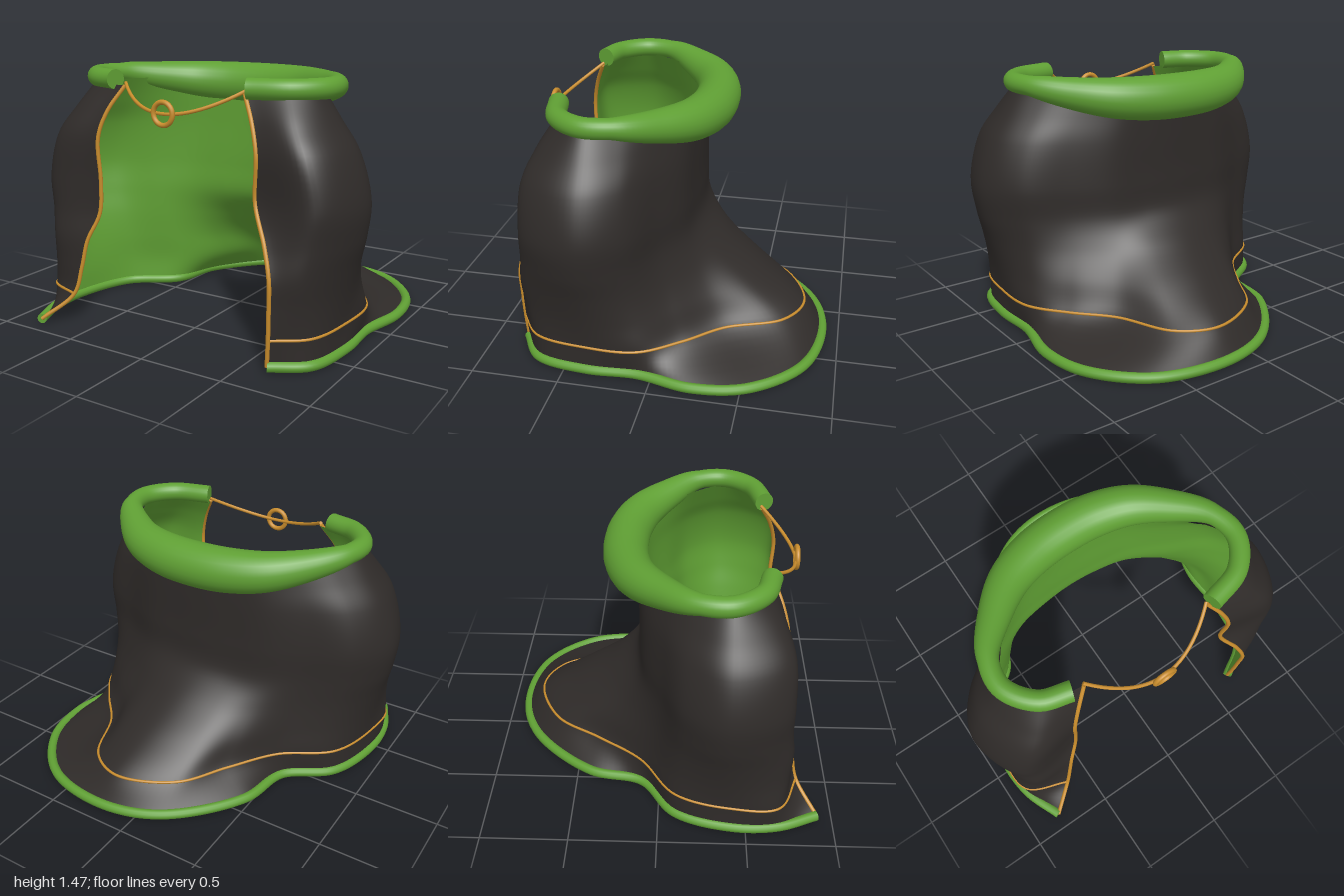
import * as THREE from 'three';

const mat = (color) => new THREE.MeshStandardMaterial({ color, roughness: 0.8 });
const V = (x, y, z) => new THREE.Vector3(x, y, z);
const { lerp } = THREE.MathUtils;
const mirror = (half) => half.map(([x, z]) => [-x, z]).reverse();

// Plan outlines [x, z] from the right front, round the back, to the left front
const rightHalf = [[-0.86, 0.72], [-1, 0.38], [-0.87, 0.14], [-0.62, 0.01], [-0.4, -0.09], [-0.18, -0.125]];
const body = [...rightHalf, [0, -0.135], ...mirror(rightHalf)];
const hem = [[-0.89, 0.68], [-0.9, 0.42], [-0.8, 0.1], [-0.55, -0.1], [-0.47, -0.42], [-0.14, -0.79], [0.2, -0.9],
  [0.62, -0.82], [0.88, -0.54], [0.94, -0.24], [0.88, 0.08], [0.89, 0.37], [0.83, 0.66]];
// The train narrows just above the hem
const train = [[-0.52, -0.11], [-0.33, -0.38], [-0.15, -0.65], [0.18, -0.785], [0.4, -0.68], [0.55, -0.36], [0.73, -0.15]];
const band = [...hem.slice(0, 3), ...train, ...hem.slice(10)];

// Front edges lie on a slanting line in plan
const edgeZ = (x) => 0.58 + 0.79 * (Math.abs(x) - 0.38);

// One level: height, half width, x of both front edges, and how far it flares into the train
function level(y, width, right, left, flare, foot = band) {
  const frontZ = Math.min(0.74, edgeZ(right) + 0.25 * (width - 0.9));
  const sides = body.map(([x, z], i) => {
    const atFront = i === 0 || i === body.length - 1;
    const atRear = i === 2 || i === body.length - 3;
    const bodyZ = atFront ? frontZ : z + (atRear ? 0.2 * (1 - width) : 0);
    return V(lerp(x * width, foot[i][0], flare), y, lerp(bodyZ, foot[i][1], flare));
  });
  return new THREE.CatmullRomCurve3([V(right, y, edgeZ(right)), ...sides, V(left, y, edgeZ(left))]);
}

const levels = [
  level(0.035, 0.9, -0.8, 0.645, 1, hem),
  level(0.18, 0.91, -0.65, 0.655, 1),
  level(0.34, 0.94, -0.61, 0.66, 0.63),
  level(0.5, 0.96, -0.58, 0.66, 0.27),
  level(0.66, 0.985, -0.52, 0.61, 0.03),
  level(0.85, 1, -0.51, 0.51, 0),
  level(1.1, 0.93, -0.515, 0.515, 0),
  level(1.25, 0.83, -0.47, 0.47, 0),
  level(1.39, 0.735, -0.39, 0.39, 0),
];

// Vertical curve of the cloak at u = 0 (right front edge) to 1 (left front edge)
const column = (u) => new THREE.CatmullRomCurve3(levels.map((l) => l.getPoint(u)));

// Cloth sheet lofted through the levels; the lining is turned inwards and set slightly inside
function sheet(inner) {
  const nu = 140, nv = 56, pos = [], index = [];
  for (let i = 0; i <= nu; i++) {
    const c = column(i / nu);
    for (let j = 0; j <= nv; j++) pos.push(...c.getPoint(j / nv).toArray());
  }
  for (let i = 0; i < nu; i++) {
    for (let j = 0; j < nv; j++) {
      const a = i * (nv + 1) + j, b = a + nv + 1;
      if (inner) index.push(a, b, a + 1, a + 1, b, b + 1);
      else index.push(a, a + 1, b, a + 1, b + 1, b);
    }
  }
  const g = new THREE.BufferGeometry();
  g.setAttribute('position', new THREE.Float32BufferAttribute(pos, 3));
  g.setIndex(index);
  g.computeVertexNormals();
  if (inner) {
    const p = g.attributes.position, n = g.attributes.normal;
    for (let i = 0; i < p.array.length; i++) p.array[i] += n.array[i] * 0.012;
  }
  return g;
}

// Closed-end cord along a curve; radius is a function of the centre point
function cord(name, curve, radius, material, segments = 120, sides = 12) {
  const group = new THREE.Group();
  group.name = name;
  const g = new THREE.TubeGeometry(curve, segments, 1, sides);
  const p = g.attributes.position, v = V(0, 0, 0);
  for (let i = 0; i <= segments; i++) {
    const c = curve.getPointAt(i / segments), r = radius(c);
    for (let j = 0; j <= sides; j++) {
      const k = i * (sides + 1) + j;
      v.fromBufferAttribute(p, k).sub(c).multiplyScalar(r).add(c);
      p.setXYZ(k, v.x, v.y, v.z);
    }
  }
  const length = new THREE.Mesh(g, material);
  length.name = name + 'Length';
  group.add(length);
  for (const [t, s] of [[0, -1], [1, 1]]) {
    const c = curve.getPointAt(t);
    const cap = new THREE.Mesh(new THREE.CircleGeometry(radius(c), sides), material);
    cap.name = name + 'End';
    cap.position.copy(c);
    cap.lookAt(c.clone().addScaledVector(curve.getTangentAt(t), s));
    group.add(cap);
  }
  return group;
}

export function createModel() {
  const model = new THREE.Group();
  model.name = 'cloak';
  const dark = mat(0x2f2b29), green = mat(0x60a034), gold = mat(0xc88c2c);
  const add = (name, geometry, material) => {
    const mesh = new THREE.Mesh(geometry, material);
    mesh.name = name;
    model.add(mesh);
    return mesh;
  };

  // Cloth and lining
  add('outerCloth', sheet(false), dark);
  add('lining', sheet(true), green);

  // Padded collar: flat along the top, thickest at the back
  const thickness = (z) => Math.max(0.056, 0.093 - 0.17 * z);
  const half = [[-0.63, 0.53], [-0.745, 0.37], [-0.715, 0.19], [-0.56, 0.01], [-0.39, -0.12], [-0.2, -0.185]];
  const ring = [[-0.46, 0.585], ...half, [0, -0.203], ...mirror(half), [0.41, 0.6]];
  const collar = new THREE.CatmullRomCurve3(ring.map(([x, z]) => V(x, 1.477 - thickness(z), z)));
  model.add(cord('collar', collar, (c) => thickness(c.z), green, 120, 24));

  // Rolled hem, stitched band and front edge trims
  model.add(cord('hem', levels[0], () => 0.029, green, 180));
  model.add(cord('hemBand', levels[1], () => 0.008, gold, 180, 8));
  model.add(cord('rightEdgeTrim', column(0), () => 0.012, gold, 90, 8));
  model.add(cord('leftEdgeTrim', column(1), () => 0.012, gold, 90, 8));

  // Clasp: hanging cord with a ring
  const clasp = new THREE.QuadraticBezierCurve3(V(-0.39, 1.405, 0.58), V(0, 1.155, 0.934), V(0.39, 1.405, 0.58));
  model.add(cord('claspCord', clasp, () => 0.01, gold, 50, 8));
  add('claspRing', new THREE.TorusGeometry(0.061, 0.014, 12, 36), gold).position.set(0, 1.282, 0.765);

  return model;
}
